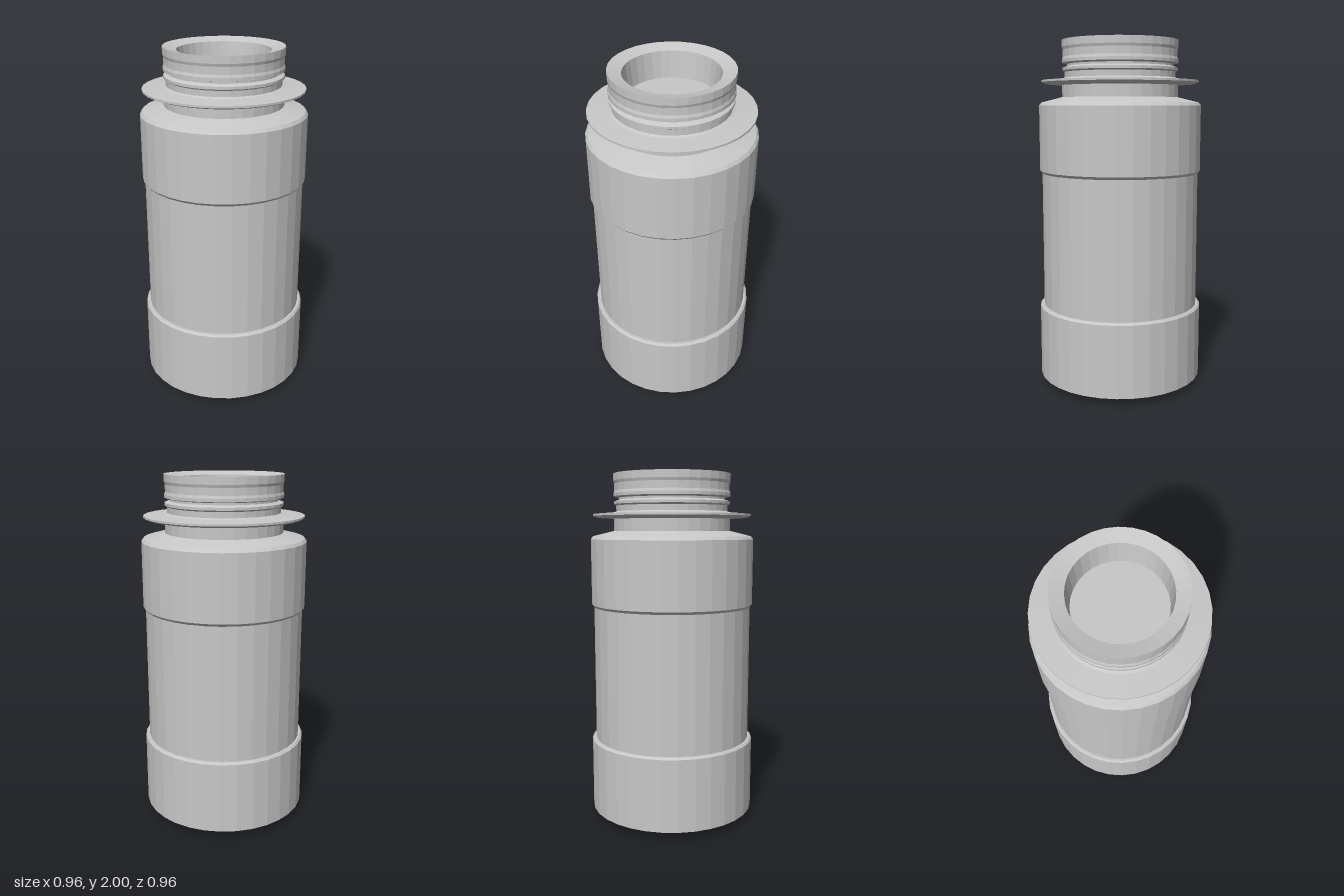
import * as THREE from 'three';

const SIDES = 32;

export function createModel() {
  const model = new THREE.Group();
  const grey = new THREE.MeshStandardMaterial({ color: 0xc8c8c8, flatShading: true });
  grey.name = 'plain grey';

  // Turns a profile of [radius, height] pairs, listed from bottom to top
  function turned(name, profile) {
    const points = profile.map(([r, y]) => new THREE.Vector2(r, y));
    const mesh = new THREE.Mesh(new THREE.LatheGeometry(points, SIDES), grey);
    mesh.name = name;
    model.add(mesh);
  }

  // Recessed underside with a bevelled foot
  turned('underside', [[0, 0.06], [0.125, 0.06], [0.345, 0], [0.478, 0.04]]);

  // Wide band around the base, with a small ledge on top
  turned('baseBand', [[0.478, 0.04], [0.478, 0.457], [0.468, 0.468], [0.455, 0.468]]);

  turned('bodyWall', [[0.455, 0.468], [0.455, 1.245]]);

  // Upper band and sloping shoulder
  turned('upperBand', [[0.455, 1.245], [0.468, 1.26], [0.468, 1.633], [0.455, 1.65]]);
  turned('shoulder', [[0.455, 1.65], [0.335, 1.68]]);

  turned('neck', [[0.335, 1.68], [0.335, 1.748]]);

  // Thin flange around the neck
  turned('flange', [[0.335, 1.748], [0.425, 1.753], [0.453, 1.764], [0.453, 1.775], [0.335, 1.784]]);

  // Stepped rings and groove below the cap
  turned('neckRings', [
    [0.335, 1.784], [0.32, 1.79], [0.32, 1.822], [0.333, 1.83],
    [0.333, 1.845], [0.305, 1.855], [0.305, 1.866], [0.335, 1.873],
  ]);

  // Cap wall, inward-sloping rim and shallow well
  turned('capWall', [[0.335, 1.873], [0.335, 1.89], [0.33, 1.905], [0.33, 1.945], [0.335, 1.96], [0.335, 2]]);
  turned('capRim', [[0.335, 2], [0.26, 1.98]]);
  turned('capWell', [[0.26, 1.98], [0.245, 1.83], [0, 1.83]]);

  return model;
}
